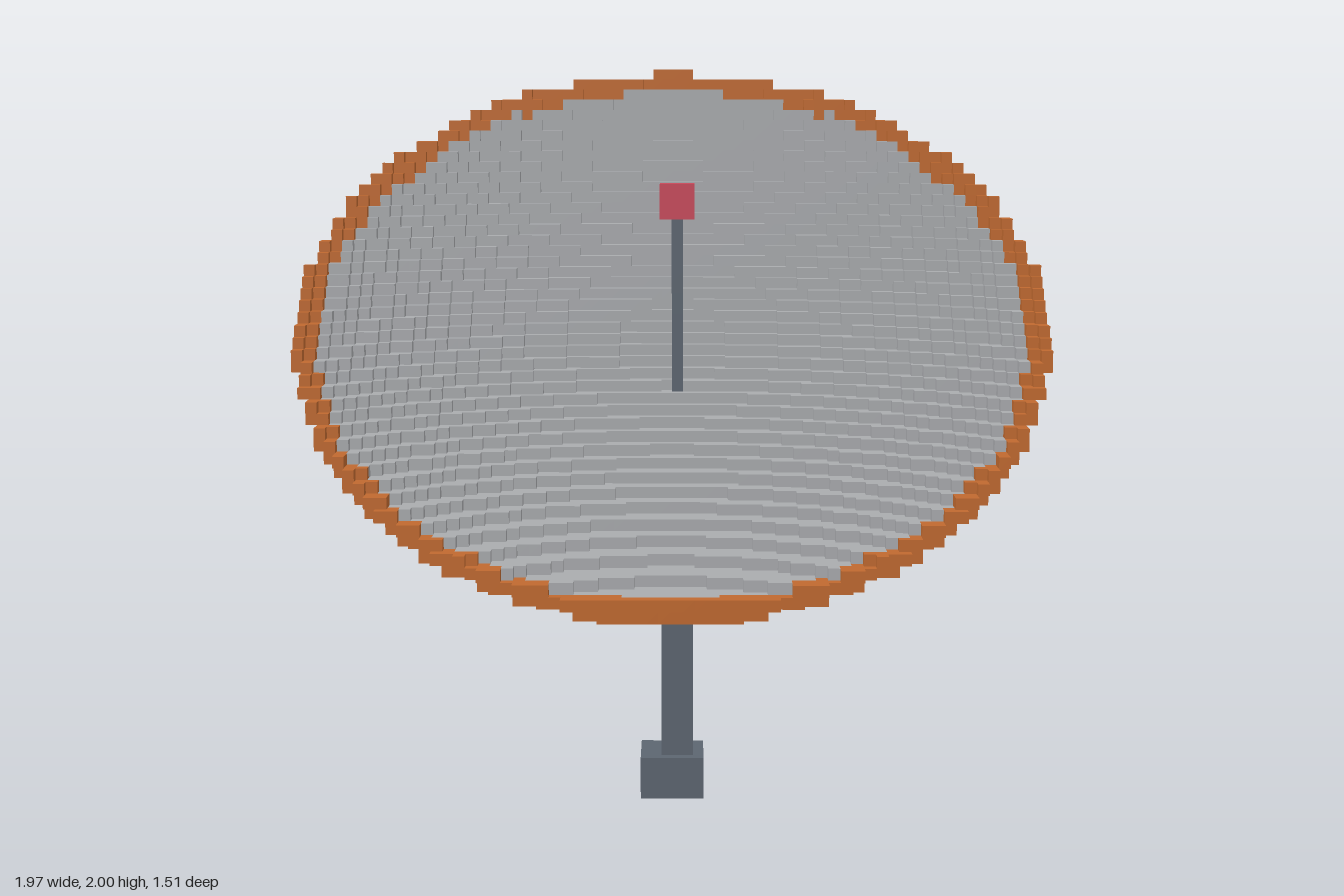
import * as THREE from 'three';

const S = 2 / 69; // edge of one block

const mat = (name, color) => {
  const m = new THREE.MeshStandardMaterial({ color });
  m.name = name;
  return m;
};

// Builds the exposed faces of a set of unit blocks; faces against `solid` blocks are skipped.
function blockGeometry(cells, solid) {
  const pos = [], nor = [], idx = [];
  for (const c of cells) {
    for (let d = 0; d < 3; d++) {
      for (const s of [1, -1]) {
        const next = [...c];
        next[d] += s;
        if (solid.has(next.join())) continue;
        const u = (d + 1) % 3, v = (d + 2) % 3, base = pos.length / 3;
        for (const [a, b] of [[0, 0], [1, 0], [1, 1], [0, 1]]) {
          const p = [...c];
          p[d] += s > 0 ? 1 : 0;
          p[u] += a;
          p[v] += b;
          pos.push(p[0] * S, p[1] * S, p[2] * S);
          const n = [0, 0, 0];
          n[d] = s;
          nor.push(...n);
        }
        const order = s > 0 ? [0, 1, 2, 0, 2, 3] : [0, 2, 1, 0, 3, 2];
        idx.push(...order.map((k) => base + k));
      }
    }
  }
  const g = new THREE.BufferGeometry();
  g.setAttribute('position', new THREE.Float32BufferAttribute(pos, 3));
  g.setAttribute('normal', new THREE.Float32BufferAttribute(nor, 3));
  g.setIndex(idx);
  return g;
}

export function createModel() {
  const group = new THREE.Group();
  group.name = 'dishAntenna';

  const grey = mat('dish grey', 0xa9abae);
  const orange = mat('rim orange', 0xc0692f);
  const steel = mat('steel blue grey', 0x5c6570);
  const red = mat('feed red', 0xc8485a);

  const add = (name, geometry, material) => {
    const m = new THREE.Mesh(geometry, material);
    m.name = name;
    group.add(m);
    return m;
  };
  // Box between two corners given in block units
  const box = (name, [x0, y0, z0], [x1, y1, z1], material) => {
    const g = new THREE.BoxGeometry((x1 - x0) * S, (y1 - y0) * S, (z1 - z0) * S);
    add(name, g, material).position.set((x0 + x1) / 2 * S, (y0 + y1) / 2 * S, (z0 + z1) / 2 * S);
  };

  // Dish: a tilted paraboloid sheet cut into blocks, with an orange outer ring
  const tilt = THREE.MathUtils.degToRad(50), sin = Math.sin(tilt), cos = Math.cos(tilt);
  const R = 34, depth = 10, rimInner = 32.3, centreY = 46.1;
  const dish = [], rim = [], solid = new Set();
  for (let x = -34; x < 34; x++) {
    for (let y = 20; y < 69; y++) {
      for (let z = -26; z < 26; z++) {
        const dx = x + 0.5, dy = y + 0.5 - centreY, dz = z + 0.5;
        const r = Math.hypot(dx, dy * cos - dz * sin);
        const w = dy * sin + dz * cos - depth * ((r * r) / (R * R) - 1);
        if (r > R || w < -0.6 || w > 1.4) continue;
        (r > rimInner ? rim : dish).push([x, y, z]);
        solid.add([x, y, z].join());
      }
    }
  }
  add('dish', blockGeometry(dish, solid), grey);
  add('rim', blockGeometry(rim, solid), orange);

  // Feed arm: a stepped line along the dish axis
  const arm = new Map();
  for (let t = 0.5; t < 23.6; t += 0.5) {
    const c = [0, Math.floor(centreY - depth * sin + t * sin), Math.floor(-depth * cos + t * cos)];
    arm.set(c.join(), c);
  }
  add('feedArm', blockGeometry([...arm.values()], new Set(arm.keys())), steel);
  box('feedHead', [-1, 56, 8], [2, 59, 11], red);

  // Stand
  box('base', [-3, 0, -9], [3, 4, -3], steel);
  box('post', [-1, 4, -7], [2, 33, -4], steel);
  box('mount', [-3, 33, -9], [3, 37, -3], steel);

  return group;
}
